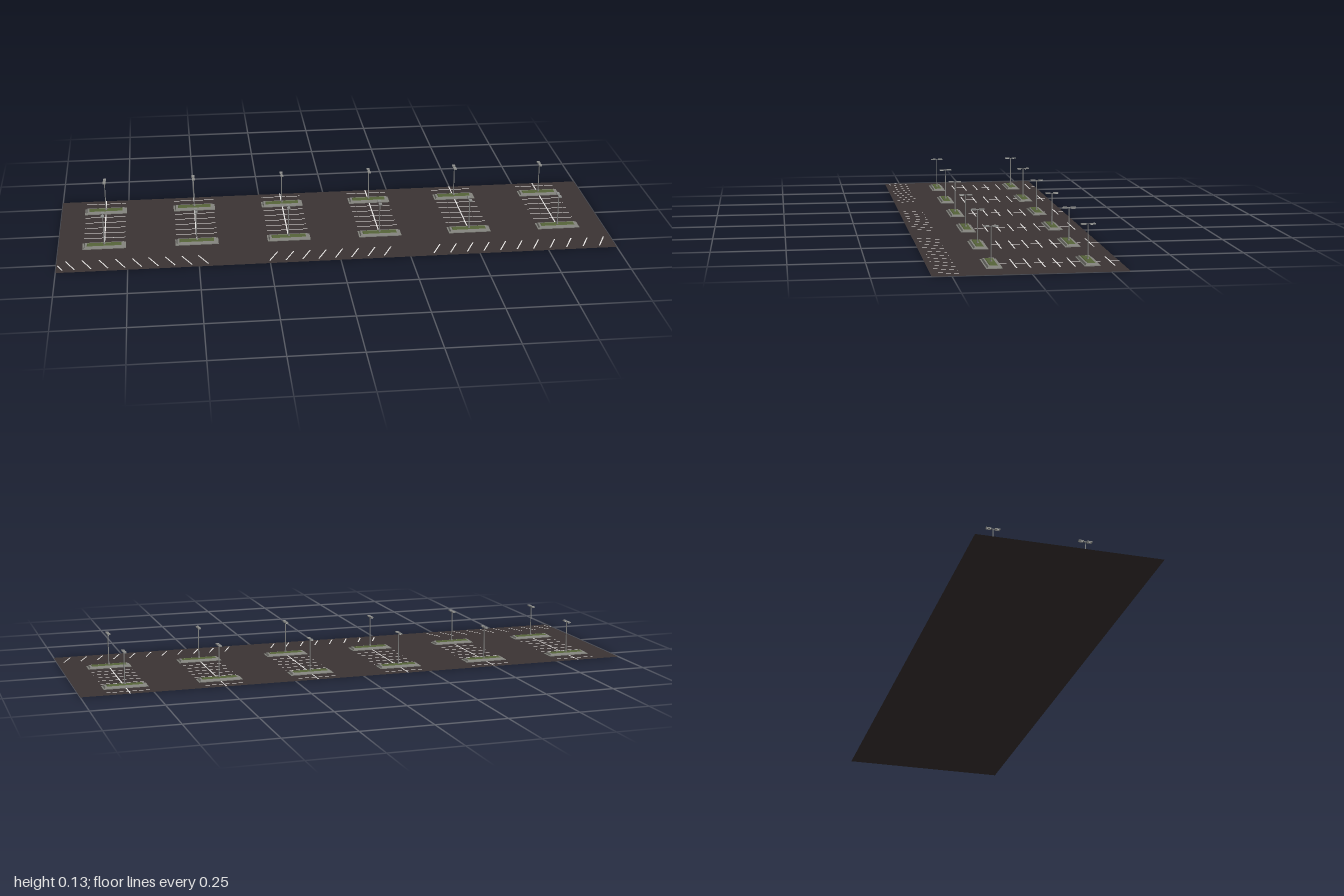
import * as THREE from 'three';

const mat = (name, color, side = THREE.FrontSide) => {
  const m = new THREE.MeshStandardMaterial({ color, side });
  m.name = name;
  return m;
};

export function createModel() {
  const asphalt = mat('asphalt', 0x3b3434, THREE.DoubleSide);
  const paint = mat('white paint', 0xe6e4e2);
  const concrete = mat('concrete', 0x85857f);
  const grass = mat('grass', 0x566539);
  const metal = mat('lamp metal', 0x8f908e);
  const lens = mat('lamp lens', 0xdadad4);

  const root = new THREE.Group();
  root.name = 'parkingLot';

  const add = (parent, name, geo, material, x = 0, y = 0, z = 0) => {
    const mesh = new THREE.Mesh(geo, material);
    mesh.name = name;
    mesh.position.set(x, y, z);
    parent.add(mesh);
    return mesh;
  };

  // Box standing on y = 0 whose top face is smaller than its base
  const taperedBox = (w, h, d, inset) => {
    const geo = new THREE.BoxGeometry(w, h, d).toNonIndexed();
    const p = geo.attributes.position;
    for (let i = 0; i < p.count; i++) {
      if (p.getY(i) > 0) {
        p.setX(i, p.getX(i) - Math.sign(p.getX(i)) * inset);
        p.setZ(i, p.getZ(i) - Math.sign(p.getZ(i)) * inset);
      }
    }
    geo.translate(0, h / 2, 0);
    geo.computeVertexNormals();
    return geo;
  };

  // Paved surface
  const ground = new THREE.PlaneGeometry(2, 0.625).rotateX(-Math.PI / 2);
  add(root, 'pavement', ground, asphalt);

  // Painted line between two ground points
  const line = (name, x1, z1, x2, z2, width = 0.0045) => {
    const length = Math.hypot(x2 - x1, z2 - z1);
    const geo = new THREE.PlaneGeometry(length, width).rotateX(-Math.PI / 2);
    const mesh = add(root, name, geo, paint, (x1 + x2) / 2, 0.001, (z1 + z2) / 2);
    mesh.rotation.y = -Math.atan2(z2 - z1, x2 - x1);
  };

  // Planted island with kerb and a twin-headed lamp
  const gutterGeo = new THREE.BoxGeometry(0.156, 0.002, 0.053);
  const kerbGeo = taperedBox(0.147, 0.006, 0.045, 0.004);
  const grassGeo = taperedBox(0.126, 0.002, 0.028, 0.003);
  const footGeo = new THREE.CylinderGeometry(0.0035, 0.0045, 0.006, 12);
  const poleGeo = new THREE.CylinderGeometry(0.0016, 0.002, 0.115, 10);
  const armGeo = new THREE.BoxGeometry(0.002, 0.002, 0.014);
  const headGeo = new THREE.BoxGeometry(0.011, 0.004, 0.018);
  const lensGeo = new THREE.BoxGeometry(0.008, 0.001, 0.014);

  const island = (x, z) => {
    const g = new THREE.Group();
    g.name = 'lampIsland';
    g.position.set(x, 0, z);
    root.add(g);
    add(g, 'gutter', gutterGeo, concrete, 0, 0.0015, 0);
    add(g, 'kerb', kerbGeo, concrete, 0, 0.002, 0);
    add(g, 'lawn', grassGeo, grass, 0, 0.0075, 0);
    add(g, 'lampFoot', footGeo, concrete, 0, 0.011, 0);
    add(g, 'lampPole', poleGeo, metal, 0, 0.067, 0);
    add(g, 'lampArm', armGeo, metal, 0, 0.1235, 0);
    for (const s of [-1, 1]) {
      add(g, 'lampHead', headGeo, metal, 0, 0.1238, s * 0.0145);
      add(g, 'lampLens', lensGeo, lens, 0, 0.1215, s * 0.0145);
    }
  };

  // Six columns of stalls, each with a spine line and crossing stall lines
  const stallZ = [-0.281, -0.154, -0.106, -0.058, -0.011, 0.034];
  for (const x of [-0.835, -0.502, -0.168, 0.166, 0.498, 0.831]) {
    for (const z of [-0.209, 0.105]) island(x, z);
    line('stallSpine', x, -0.312, x, 0.08);
    for (const z of stallZ) line('stallLine', x - 0.075, z, x + 0.075, z);
  }

  // Angled stalls along the front edge: first centre, step, count, lean
  const rows = [
    [-0.952, 0.0585, 9, 1],
    [-0.235, 0.0585, 8, -1],
    [0.353, 0.0605, 11, -1],
  ];
  for (const [start, step, count, lean] of rows) {
    for (let i = 0; i < count; i++) {
      const x = start + i * step;
      line('angledStallLine', x - lean * 0.017, 0.222, x + lean * 0.017, 0.295);
    }
  }
  line('angledStallLine', -0.996, 0.255, -0.977, 0.295);

  return root;
}
